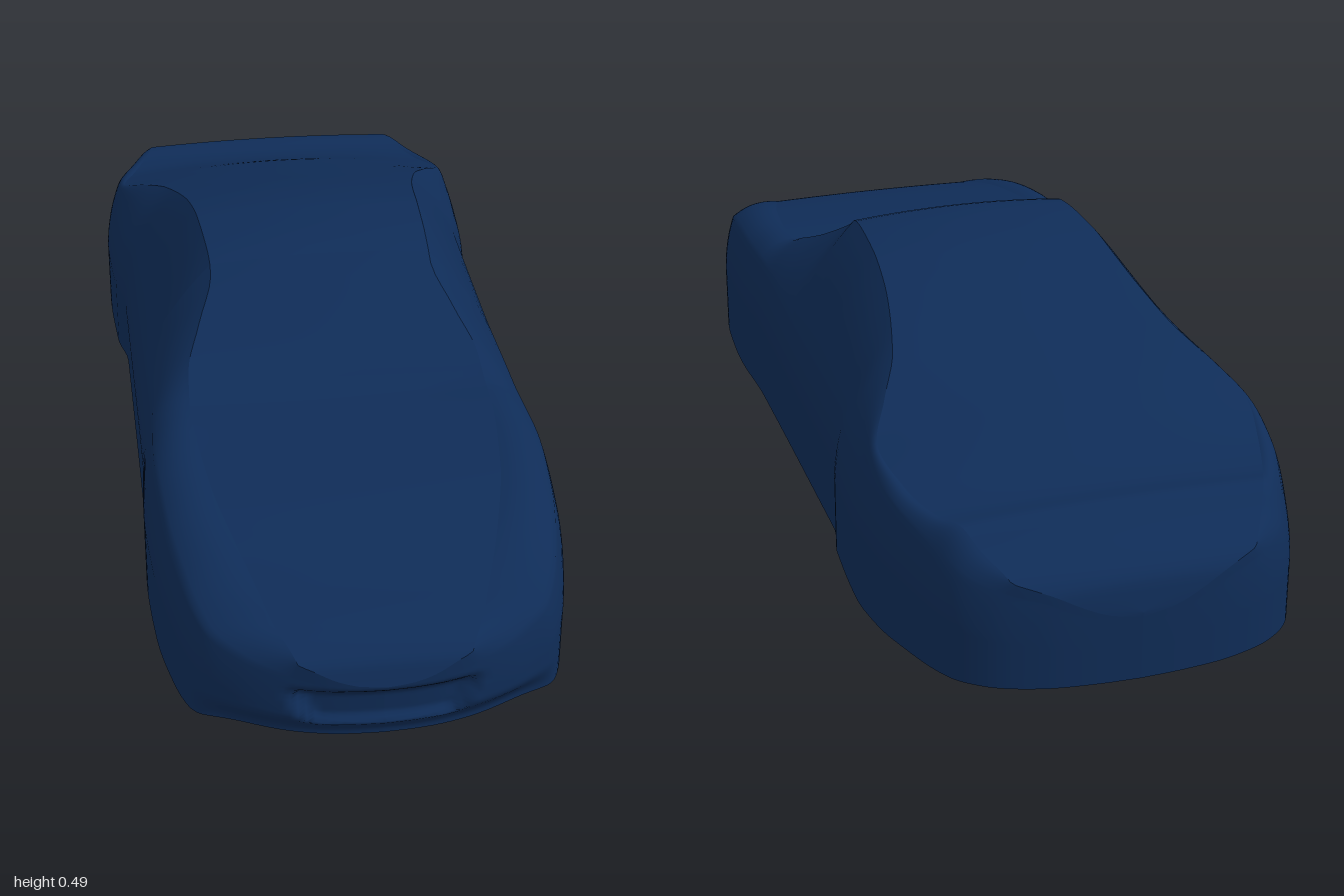
import * as THREE from 'three';

// Smooth monotone interpolation through [z, value] pairs given from front to rear
function profile(...pts) {
  const n = pts.length;
  const slope = pts.slice(1).map((p, i) => (p[1] - pts[i][1]) / (p[0] - pts[i][0]));
  const tangent = pts.map((_, i) => {
    if (i === 0) return slope[0];
    if (i === n - 1) return slope[n - 2];
    const a = slope[i - 1], b = slope[i];
    return a * b <= 0 ? 0 : (2 * a * b) / (a + b);
  });
  return (z) => {
    let i = 0;
    while (i < n - 2 && z < pts[i + 1][0]) i++;
    const h = pts[i + 1][0] - pts[i][0], t = (z - pts[i][0]) / h, t2 = t * t, t3 = t2 * t;
    return pts[i][1] * (2 * t3 - 3 * t2 + 1) + pts[i + 1][1] * (3 * t2 - 2 * t3)
      + h * (tangent[i] * (t3 - 2 * t2 + t) + tangent[i + 1] * (t3 - t2));
  };
}

// Half width in plan
const halfWidth = profile([1, 0], [0.998, 0.05], [0.99, 0.11], [0.97, 0.18], [0.93, 0.26], [0.88, 0.32],
  [0.8, 0.352], [0.65, 0.378], [0.5, 0.385], [0.3, 0.376], [0, 0.375], [-0.33, 0.375], [-0.42, 0.392],
  [-0.6, 0.4], [-0.7, 0.388], [-0.79, 0.362], [-0.9, 0.315], [-0.95, 0.26], [-0.985, 0.165], [-0.997, 0.07], [-1, 0]);
// Height along the centre line
const centreY = profile([1, 0.13], [0.98, 0.17], [0.94, 0.196], [0.9, 0.21], [0.85, 0.238], [0.75, 0.277],
  [0.6, 0.305], [0.42, 0.32], [0.38, 0.322], [0.3, 0.358], [0.2, 0.41], [0.1, 0.47], [0.08, 0.483], [0, 0.49],
  [-0.1, 0.486], [-0.2, 0.467], [-0.3, 0.438], [-0.4, 0.404], [-0.6, 0.336], [-0.8, 0.266], [-0.85, 0.272],
  [-0.9, 0.242], [-0.96, 0.21], [-0.985, 0.185], [-1, 0.13]);
// Crease between the top and the sides: distance out and drop below the centre line
const edgeX = profile([1, 0.14], [0.9, 0.185], [0.75, 0.235], [0.6, 0.268], [0.4, 0.285], [0.3, 0.28],
  [0.2, 0.25], [0.1, 0.218], [0, 0.222], [-0.2, 0.235], [-0.4, 0.272], [-0.5, 0.315], [-0.6, 0.355],
  [-0.7, 0.335], [-0.85, 0.28], [-1, 0.2]);
const edgeDrop = profile([1, 0], [0.9, 0.004], [0.6, 0], [0.4, -0.006], [0.2, 0.008], [0, 0.012],
  [-0.4, 0.014], [-0.5, 0.022], [-0.6, 0.036], [-0.7, 0.022], [-0.8, 0.008], [-1, 0.008]);
// Shoulder height and the swell of the fenders above it
const shoulderY = profile([1, 0.11], [0.98, 0.14], [0.93, 0.165], [0.9, 0.182], [0.8, 0.232], [0.65, 0.272],
  [0.5, 0.288], [0.3, 0.285], [0, 0.27], [-0.3, 0.268], [-0.6, 0.268], [-0.8, 0.232], [-0.9, 0.2],
  [-0.98, 0.165], [-1, 0.115]);
const fenderSwell = profile([1, 0], [0.9, 0.012], [0.7, 0.026], [0.45, 0.022], [0.25, 0.008], [-0.3, 0.006],
  [-0.6, 0.015], [-0.85, 0.015], [-1, 0]);

const smooth = THREE.MathUtils.smoothstep;
const bezier = (a, b, c, t) => (1 - t) * (1 - t) * a + 2 * t * (1 - t) * b + t * t * c;
const edgeAt = (z) => [Math.min(edgeX(z), halfWidth(z) * 0.93), centreY(z) - edgeDrop(z)];

// One half section of the side, from the sill up to the crease
function sideSection(z) {
  const w = halfWidth(z), sy = shoulderY(z), sx = w * 0.94, [ex, ey] = edgeAt(z), pts = [];
  for (let j = 0; j <= 12; j++) pts.push([w, (j / 12) * sy * 0.55]);
  for (let j = 1; j <= 8; j++) {
    pts.push([bezier(w, w * 0.99, sx, j / 8), bezier(sy * 0.55, sy * 0.8, sy, j / 8)]);
  }
  for (let j = 1; j <= 10; j++) {
    pts.push([bezier(sx, sx + (ex - sx) * 0.42, ex, j / 10),
      bezier(sy, sy + (ey - sy) * 0.55 + fenderSwell(z), ey, j / 10)]);
  }
  return pts;
}

// One full section of the top, crease to crease
function topSection(z) {
  const [ex, ey] = edgeAt(z), cy = centreY(z), pts = [];
  for (let j = 0; j <= 20; j++) {
    const t = 1 - j / 10;
    pts.push([ex * t, cy + (ey - cy) * t * t]);
  }
  return pts;
}

// Bumper undercut and the air intake pressed into the nose
function noseDepth(x, y, z) {
  if (z < 0.85) return 0;
  const undercut = 0.035 * (1 - smooth(y, 0.005, 0.065)) * smooth(z, 0.85, 0.95);
  const half = 0.12 + 0.5 * y;
  const intake = 0.03 * (1 - smooth(Math.abs(x), half - 0.025, half))
    * smooth(y, 0.025, 0.055) * (1 - smooth(y, 0.09, 0.13)) * smooth(z, 0.93, 0.96);
  return Math.max(undercut, intake);
}

// Stations close up towards both ends, where the plan turns the corner
const breaks = [0.38, 0.09];
const stations = [...Array.from({ length: 141 }, (_, i) => Math.cos((i / 140) * Math.PI)), ...breaks]
  .sort((a, b) => b - a);

function loft(section, front, rear, mirror = 1) {
  const rows = stations.filter((z) => z <= front && z >= rear);
  const pos = [], index = [];
  let cols = 0;
  rows.forEach((z) => {
    const pts = section(z);
    cols = pts.length;
    pts.forEach(([x, y]) => pos.push(x * mirror, y, z - noseDepth(x, y, z)));
  });
  for (let i = 0; i < rows.length - 1; i++) {
    for (let j = 0; j < cols - 1; j++) {
      const a = i * cols + j, b = a + cols, c = a + 1, d = b + 1;
      if (mirror > 0) index.push(a, b, c, c, b, d);
      else index.push(a, c, b, c, d, b);
    }
  }
  const geo = new THREE.BufferGeometry();
  geo.setAttribute('position', new THREE.Float32BufferAttribute(pos, 3));
  geo.setIndex(index);
  geo.computeVertexNormals();
  return geo;
}

export function createModel() {
  const group = new THREE.Group();
  group.name = 'carBodyShell';
  const paint = new THREE.MeshStandardMaterial({ color: 0x0f2c57, side: THREE.DoubleSide });
  const add = (name, geo) => {
    const mesh = new THREE.Mesh(geo, paint);
    mesh.name = name;
    group.add(mesh);
  };

  // Sides wrap round to the middle of the nose and tail; the underside stays open
  add('leftSide', loft(sideSection, 1, -1));
  add('rightSide', loft(sideSection, 1, -1, -1));

  // Top panels meet at crisp edges
  add('hood', loft(topSection, 1, breaks[0]));
  add('windscreen', loft(topSection, breaks[0], breaks[1]));
  add('roofAndTail', loft(topSection, breaks[1], -1));
  return group;
}
